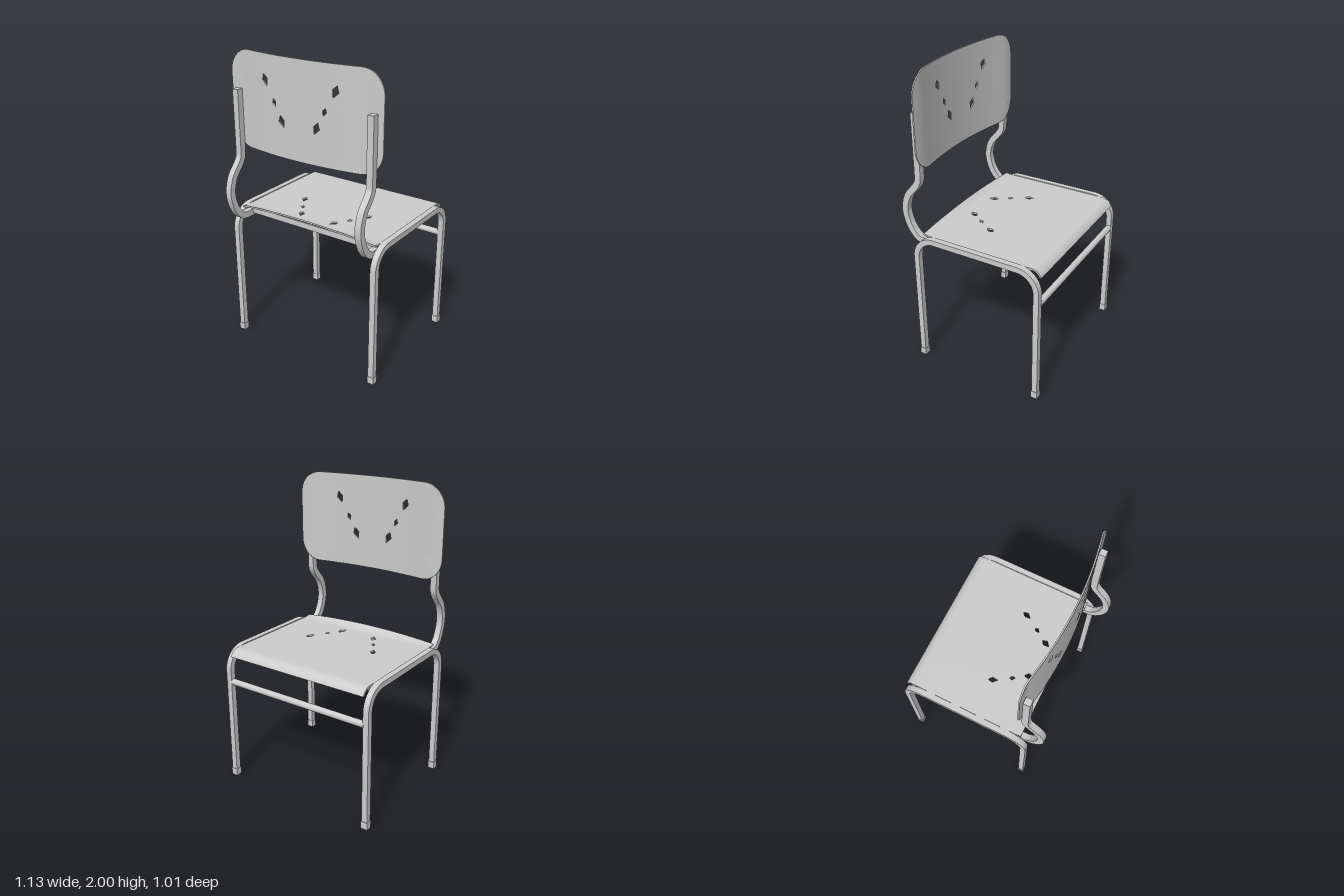
import * as THREE from 'three';
import { toCreasedNormals } from 'three/addons/utils/BufferGeometryUtils.js';

const material = new THREE.MeshStandardMaterial({ color: 0xcccccc, side: THREE.DoubleSide });

function add(group, name, geometry, x = 0, y = 0, z = 0) {
  const mesh = new THREE.Mesh(geometry, material);
  mesh.name = name;
  mesh.position.set(x, y, z);
  group.add(mesh);
  return mesh;
}

// Square tube bent in the side plane: a (z, y) centreline, given thickness and width in x
function bentTube(points, thickness, width) {
  const left = [], right = [];
  points.forEach((p, i) => {
    const a = points[Math.max(i - 1, 0)], b = points[Math.min(i + 1, points.length - 1)];
    const dir = b.clone().sub(a).normalize();
    const n = new THREE.Vector2(-dir.y, dir.x).multiplyScalar(thickness / 2);
    left.push(p.clone().add(n));
    right.unshift(p.clone().sub(n));
  });
  const geometry = new THREE.ExtrudeGeometry(new THREE.Shape([...left, ...right]), {
    depth: width, bevelEnabled: false,
  });
  geometry.translate(0, 0, -width / 2).rotateY(-Math.PI / 2);
  return toCreasedNormals(geometry, 0.6);
}

// Thin sheet cut from a shape, finely divided and then bent by a rule
function bentSheet(shape, thickness, maxEdge, bend) {
  const flat = new THREE.ExtrudeGeometry(shape, { depth: thickness, bevelEnabled: false, curveSegments: 10 });
  const pos = flat.attributes.position;
  const out = [];
  const split = (t) => {
    const lengths = t.map((p, i) => p.distanceTo(t[(i + 1) % 3]));
    const k = lengths.indexOf(Math.max(...lengths));
    if (lengths[k] <= maxEdge) {
      t.forEach((p) => out.push(bend(p)));
      return;
    }
    const a = t[k], b = t[(k + 1) % 3], c = t[(k + 2) % 3];
    const m = a.clone().add(b).multiplyScalar(0.5);
    split([a, m, c]);
    split([m, b, c]);
  };
  for (let i = 0; i < pos.count; i += 3) {
    split([0, 1, 2].map((j) => new THREE.Vector3().fromBufferAttribute(pos, i + j)));
  }
  return toCreasedNormals(new THREE.BufferGeometry().setFromPoints(out), 0.6);
}

// Mirrored pairs of skewed diamond holes: centre x, centre y, half width, half height
function punchDiamonds(shape, list) {
  for (const side of [-1, 1]) {
    for (const [cx, cy, w, h] of list) {
      const corners = [[-0.5, 1], [1, 0.3], [0.8, -1], [-1, -0.1]];
      shape.holes.push(new THREE.Path(
        corners.map(([u, v]) => new THREE.Vector2(side * (-cx + u * w), cy + v * h))));
    }
  }
}

function makeBackrest() {
  const w = 0.555, y0 = 1.38, y1 = 2, r = 0.15, h = Math.PI / 2;
  const shape = new THREE.Shape();
  shape.absarc(w - r, y0 + r, r, -h, 0);
  shape.absarc(w - r, y1 - r, r, 0, h);
  shape.absarc(-w + r, y1 - r, r, h, 2 * h);
  shape.absarc(-w + r, y0 + r, r, 2 * h, 3 * h);
  shape.closePath();
  punchDiamonds(shape, [
    [0.257, 1.842, 0.021, 0.037], [0.185, 1.715, 0.013, 0.025], [0.129, 1.608, 0.021, 0.037],
  ]);
  return bentSheet(shape, 0.009, 0.07, (p) => {
    const t = Math.min(Math.abs(p.x) / 0.48, 1);
    return new THREE.Vector3(p.x, p.y, 0.336 + 0.052 * (1 - t * t) + p.z);
  });
}

function makeSeat() {
  const thickness = 0.012, top = 0.942, frontZ = -0.43, rearZ = 0.29, r = 0.065;
  // Flat pattern in (x, -z); the front is longer because it rolls downward
  const rolled = -frontZ + r * 1.3;
  const shape = new THREE.Shape([
    new THREE.Vector2(-0.518, -0.35), new THREE.Vector2(0.518, -0.35),
    new THREE.Vector2(0.518, rolled), new THREE.Vector2(-0.518, rolled),
  ]);
  punchDiamonds(shape, [
    [0.258, -0.018, 0.017, 0.03], [0.19, -0.128, 0.013, 0.018], [0.13, -0.22, 0.018, 0.029],
  ]);
  return bentSheet(shape, thickness, 0.045, (p) => {
    const z = -p.y, d = p.z - thickness;
    if (z < frontZ) {
      const a = (frontZ - z) / r;
      return new THREE.Vector3(p.x, top - r + (r + d) * Math.cos(a), frontZ - (r + d) * Math.sin(a));
    }
    const t = Math.max(z - rearZ, 0) / 0.06;
    const rise = 0.008 + 0.025 * (1 - (p.x / 0.518) ** 2);
    return new THREE.Vector3(p.x, top + d + rise * t ** 1.4, z);
  });
}

export function createModel() {
  const chair = new THREE.Group();
  chair.name = 'chair';

  // Side frames: rear leg, seat rail and front leg in one bent tube
  const rear = 0.386, front = -0.48, topY = 0.928, r = 0.135;
  const frame = new THREE.Path();
  frame.moveTo(rear, 0.02);
  frame.lineTo(rear, topY - r);
  frame.absarc(rear - r, topY - r, r, 0, Math.PI / 2);
  frame.absarc(front + r, topY - r, r, Math.PI / 2, Math.PI);
  frame.lineTo(front, 0.02);
  const framePoints = frame.getPoints(10).filter((p, i, a) => !i || p.distanceTo(a[i - 1]) > 1e-4);
  const frameGeometry = bentTube(framePoints, 0.038, 0.04);

  // Backrest supports: foot under the seat, rearward bow, then upright
  const bow = new THREE.CatmullRomCurve3([
    [0.35, 0.895], [0.4, 0.907], [0.455, 0.975], [0.484, 1.085],
    [0.458, 1.19], [0.395, 1.268], [0.374, 1.305], [0.369, 1.36],
  ].map(([z, y]) => new THREE.Vector3(z, y, 0)));
  const supportPoints = [
    new THREE.Vector2(0.26, 0.895),
    ...bow.getPoints(32).map((p) => new THREE.Vector2(p.x, p.y)),
    new THREE.Vector2(0.369, 1.75),
  ];
  const supportGeometry = bentTube(supportPoints, 0.043, 0.043);

  const footGeometry = new THREE.BoxGeometry(0.046, 0.05, 0.044);
  const flangeGeometry = new THREE.BoxGeometry(0.012, 0.044, 0.71);

  for (const side of [-1, 1]) {
    add(chair, 'sideFrame', frameGeometry, side * 0.54);
    add(chair, 'backSupport', supportGeometry, side * 0.496);
    add(chair, 'seatSideFlange', flangeGeometry, side * 0.51, 0.912, -0.065);
    for (const z of [rear, front]) add(chair, 'footCap', footGeometry, side * 0.54, 0.025, z);
  }

  // Bars across the chair
  const stretcher = new THREE.CylinderGeometry(0.022, 0.022, 1.05, 16).rotateZ(Math.PI / 2);
  add(chair, 'frontStretcher', stretcher, 0, 0.712, front);
  const bar = new THREE.BoxGeometry(1.03, 0.04, 0.03);
  for (const z of [0.29, -0.36]) add(chair, 'seatCrossbar', bar, 0, 0.91, z);

  add(chair, 'seat', makeSeat());
  add(chair, 'backrest', makeBackrest());
  return chair;
}
